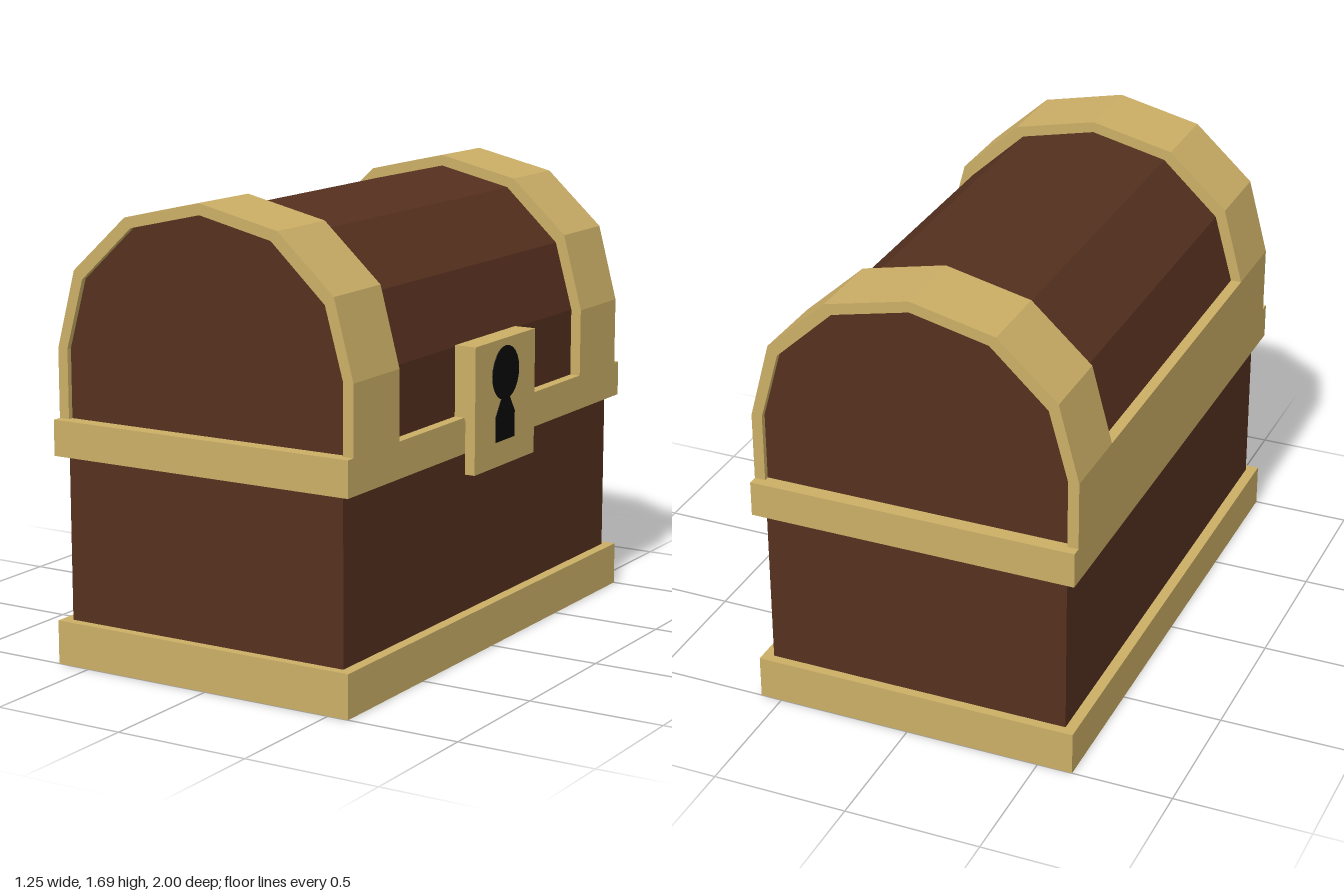
import * as THREE from 'three';

const gold = new THREE.MeshStandardMaterial({ color: 0xcbae66 });
const wood = new THREE.MeshStandardMaterial({ color: 0x55301e });
const black = new THREE.MeshStandardMaterial({ color: 0x0a0a0a });

const CX = -0.025; // centre line of the chest; the lock sticks out on +x

// Half outlines of the arched lid, from the bottom edge to the ridge
const OUTER = [[0.605, 0.88], [0.605, 1.14], [0.53, 1.42], [0.31, 1.62], [0, 1.69]];
const INNER = [[0.565, 0.88], [0.565, 1.14], [0.495, 1.39], [0.285, 1.585], [0, 1.65]];

function mirrored(half) {
  const left = half.slice(0, -1).reverse().map(([x, y]) => [-x, y]);
  return [...half, ...left].map(([x, y]) => new THREE.Vector2(x + CX, y));
}

export function createModel() {
  const chest = new THREE.Group();
  chest.name = 'treasureChest';

  const add = (name, geometry, material) => {
    const mesh = new THREE.Mesh(geometry, material);
    mesh.name = name;
    chest.add(mesh);
    return mesh;
  };

  // Box given by its low and high corners
  const box = (name, material, x0, x1, y0, y1, z0, z1) =>
    add(name, new THREE.BoxGeometry(x1 - x0, y1 - y0, z1 - z0), material)
      .position.set((x0 + x1) / 2, (y0 + y1) / 2, (z0 + z1) / 2);

  const extrude = (shape, depth, curveSegments = 12) =>
    new THREE.ExtrudeGeometry(shape, { depth, bevelEnabled: false, curveSegments });

  // Wooden body with its gold base and rim
  box('body', wood, -0.59, 0.54, 0.1, 0.8, -0.965, 0.965);
  box('baseTrim', gold, -0.63, 0.58, 0, 0.16, -1, 1);
  box('rimTrim', gold, -0.63, 0.58, 0.76, 0.89, -1, 1);

  // Faceted wooden lid
  add('lid', extrude(new THREE.Shape(mirrored(INNER)), 1.89), wood).position.z = -0.945;

  // Gold arch around each end of the lid
  const arch = new THREE.Shape([...mirrored(OUTER), ...mirrored(INNER).reverse()]);
  for (const [name, z] of [['frontBand', 0.67], ['backBand', -0.965]]) {
    add(name, extrude(arch, 0.295), gold).position.z = z;
  }

  // Tall strip along the hinge side
  box('hingeStrip', gold, -0.63, -0.58, 0.88, 1.14, -0.68, 0.68);

  // Lock plate, with a block filling the gap to the lid
  box('lockPlate', gold, 0.583, 0.622, 0.685, 1.145, -0.223, 0.22);
  box('lockBacking', gold, 0.535, 0.59, 0.88, 1.145, -0.223, 0.22);

  // Keyhole: round top with a flared foot
  const keyhole = new THREE.Group();
  keyhole.name = 'keyhole';
  const foot = new THREE.Shape([
    [-0.07, 0.775], [0.07, 0.775], [0.07, 0.87], [0.03, 0.93],
    [0.03, 1], [-0.03, 1], [-0.03, 0.93], [-0.07, 0.87],
  ].map(([x, y]) => new THREE.Vector2(x, y)));
  const round = new THREE.Shape().absarc(0, 1.02, 0.098, 0, Math.PI * 2);
  for (const [name, shape, depth] of [['keyholeFoot', foot, 0.012], ['keyholeRound', round, 0.013]]) {
    const part = new THREE.Mesh(extrude(shape, depth), black);
    part.name = name;
    keyhole.add(part);
  }
  keyhole.rotation.y = Math.PI / 2;
  keyhole.position.x = 0.612;
  chest.add(keyhole);

  return chest;
}
